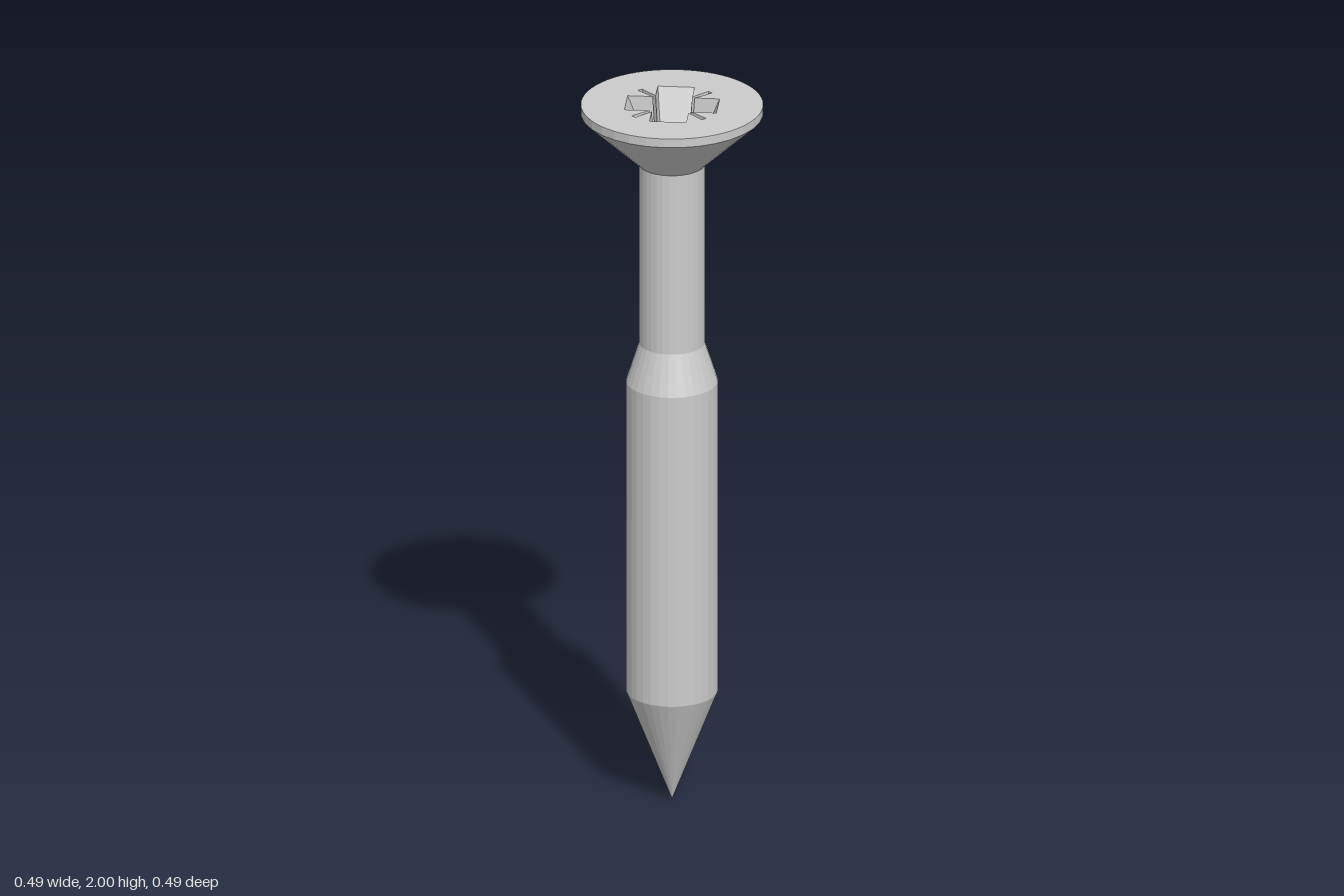
import * as THREE from 'three';

const SIDES = 32;
const TOP = 2;
const FLOOR = 1.88;
const material = new THREE.MeshStandardMaterial({ color: 0xcccccc, flatShading: true });

function addMesh(group, name, geometry) {
  const mesh = new THREE.Mesh(geometry, material);
  mesh.name = name;
  group.add(mesh);
}

const lathe = (points) =>
  new THREE.LatheGeometry(points.map(([r, y]) => new THREE.Vector2(r, y)), SIDES);

// Repeats one quarter of the recess outline four times around the axis
function recessOutline(quarter) {
  const outline = [];
  let points = quarter;
  for (let i = 0; i < 4; i++) {
    outline.push(...points.map(([x, y]) => new THREE.Vector2(x, y)));
    points = points.map(([x, y]) => [-y, x]);
  }
  return outline;
}

const circle = (Type, radius) => new Type().absarc(0, 0, radius, 0, Math.PI * 2, false);

// Horizontal face with a hole, at height y
function flatFace(shape, hole, y) {
  shape.holes.push(hole);
  return new THREE.ShapeGeometry(shape, SIDES).rotateX(-Math.PI / 2).translate(0, y, 0);
}

// Inward-facing walls between two matching outlines
function recessWalls(upper, lower) {
  const positions = [];
  const put = (p, y) => positions.push(p.x, y, -p.y);
  upper.forEach((a, i) => {
    const j = (i + 1) % upper.length;
    put(lower[j], FLOOR); put(lower[i], FLOOR); put(a, TOP);
    put(lower[j], FLOOR); put(a, TOP); put(upper[j], TOP);
  });
  const geometry = new THREE.BufferGeometry();
  geometry.setAttribute('position', new THREE.Float32BufferAttribute(positions, 3));
  geometry.computeVertexNormals();
  return geometry;
}

export function createModel() {
  const screw = new THREE.Group();
  screw.name = 'screw';

  // Pointed tip, thick lower shaft, collar and neck
  addMesh(screw, 'shaft', lathe([
    [0, 0], [0.123, 0.315], [0.123, 1.205], [0.088, 1.315], [0.088, 1.83],
  ]));

  // Countersunk head with a thin rim
  addMesh(screw, 'head', lathe([[0.088, 1.83], [0.243, 1.975], [0.243, TOP]]));

  // Cross recess: wide wing, then a narrow diagonal slot, per quarter
  const upper = recessOutline([
    [0.123, -0.049], [0.123, 0.049], [0.056, 0.049],
    [0.099, 0.089], [0.089, 0.099], [0.049, 0.056],
  ]);
  const lower = recessOutline([
    [0.073, -0.037], [0.073, 0.037], [0.048, 0.042],
    [0.085, 0.078], [0.078, 0.085], [0.042, 0.048],
  ]);
  addMesh(screw, 'headTop', flatFace(circle(THREE.Shape, 0.243), new THREE.Path(upper), TOP));
  addMesh(screw, 'recessWalls', recessWalls(upper, lower));
  addMesh(screw, 'recessFloor', flatFace(new THREE.Shape(lower), circle(THREE.Path, 0.062), FLOOR));

  // Conical bottom in the middle of the recess
  addMesh(screw, 'recessCone', lathe([[0.062, FLOOR], [0, 1.845]]));

  return screw;
}
